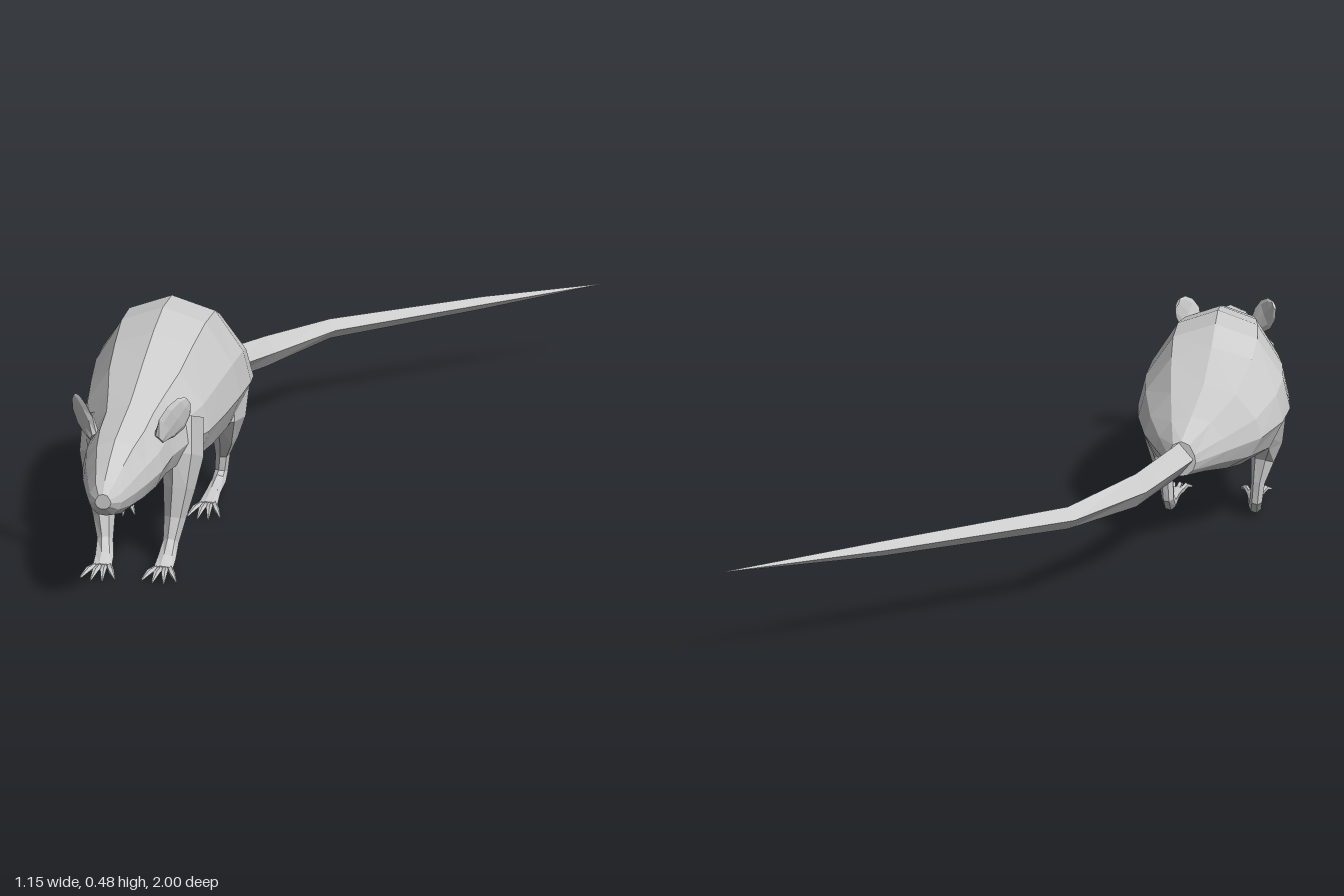
import * as THREE from 'three';

const CX = -0.392; // the body's own centre line
const material = new THREE.MeshStandardMaterial({ color: 0xcccccc, flatShading: true });

// Skin a list of equal-sized rings, closing both ends with a fan
function loft(rings, name) {
  const n = rings[0].length, pos = [], idx = [];
  rings.forEach(r => r.forEach(p => pos.push(p.x, p.y, p.z)));
  for (let i = 0; i < rings.length - 1; i++) {
    for (let j = 0; j < n; j++) {
      const a = i * n + j, b = i * n + (j + 1) % n;
      idx.push(a, b, a + n, b, b + n, a + n);
    }
  }
  const last = (rings.length - 1) * n;
  for (let j = 1; j < n - 1; j++) {
    idx.push(0, j + 1, j, last, last + j, last + j + 1);
  }
  const g = new THREE.BufferGeometry();
  g.setAttribute('position', new THREE.Float32BufferAttribute(pos, 3));
  g.setIndex(idx);
  const geometry = g.toNonIndexed();
  geometry.computeVertexNormals();
  const mesh = new THREE.Mesh(geometry, material);
  mesh.name = name;
  return mesh;
}

// Tapered limb: each station is [x, y, z, radius along ref, radius across]
function limb(stations, sides, ref, name) {
  const pts = stations.map(s => new THREE.Vector3(s[0], s[1], s[2]));
  const rings = stations.map((s, i) => {
    const t = pts[Math.min(i + 1, pts.length - 1)].clone().sub(pts[Math.max(i - 1, 0)]).normalize();
    const u = ref.clone().addScaledVector(t, -ref.dot(t)).normalize();
    const v = t.clone().cross(u);
    return Array.from({ length: sides }, (_, j) => {
      const a = j / sides * Math.PI * 2;
      return pts[i].clone().addScaledVector(u, Math.cos(a) * s[3]).addScaledVector(v, Math.sin(a) * s[4]);
    });
  });
  return loft(rings, name);
}

const X = new THREE.Vector3(1, 0, 0), Y = new THREE.Vector3(0, 1, 0);

// Body and head: [z, centre x, half width, bottom, top], rump to nose
function makeBody() {
  const half = [[0, 0], [0.42, 0.03], [0.82, 0.18], [1, 0.4], [0.9, 0.62], [0.55, 0.9], [0, 1]];
  const outline = [...half, ...half.slice(1, -1).reverse().map(([x, y]) => [-x, y])];
  const stations = [
    [-0.11, -0.33, 0.035, 0.18, 0.265],
    [-0.05, -0.35, 0.085, 0.172, 0.31],
    [0.01, -0.374, 0.14, 0.16, 0.37],
    [0.09, -0.388, 0.175, 0.143, 0.445],
    [0.17, CX, 0.185, 0.138, 0.48],
    [0.29, CX, 0.178, 0.138, 0.485],
    [0.42, CX, 0.162, 0.146, 0.464],
    [0.54, CX, 0.145, 0.165, 0.435],
    [0.64, CX, 0.115, 0.19, 0.408],
    [0.72, CX, 0.094, 0.198, 0.388],
    [0.8, -0.395, 0.088, 0.198, 0.37],
    [0.87, -0.397, 0.072, 0.2, 0.355],
    [0.93, -0.398, 0.053, 0.208, 0.33],
    [0.975, -0.4, 0.036, 0.222, 0.3],
    [1.0, -0.4, 0.017, 0.245, 0.278],
  ];
  return loft(stations.map(([z, cx, w, lo, hi]) =>
    outline.map(([x, y]) => new THREE.Vector3(cx + x * w, lo + y * (hi - lo), z))), 'body');
}

// Leg with a flat foot and splayed toes; s is +1 for left, -1 for right
function makeLeg(s, name, path, ball, toeLength) {
  const leg = new THREE.Group();
  leg.name = name;
  const side = ([x, ...rest]) => [CX + s * x, ...rest];
  leg.add(limb(path.map(side), 7, X, name + 'Limb'));
  const [bx, by, bz] = ball;
  for (let i = 0; i < 4; i++) {
    const k = (i - 1.5) / 1.5, len = toeLength * (1 - 0.22 * k * k);
    leg.add(limb([
      [bx + k * 0.013, by, bz - 0.015, 0.007, 0.007],
      [bx + k * 0.025, by + 0.003, bz + len * 0.5, 0.007, 0.007],
      [bx + k * 0.038, 0.006, bz + len, 0.002, 0.003],
    ].map(side), 5, X, 'toe'));
  }
  return leg;
}

// Thin cupped ear leaning out and back
function makeEar(s, name) {
  const ear = limb([
    [0.07, 0.325, 0.765, 0.014, 0.012],
    [0.085, 0.345, 0.75, 0.036, 0.01],
    [0.103, 0.365, 0.735, 0.042, 0.007],
    [0.118, 0.385, 0.718, 0.032, 0.006],
    [0.125, 0.396, 0.708, 0.014, 0.004],
  ].map(([x, ...r]) => [CX + s * x, ...r]), 8, new THREE.Vector3(s * 0.35, -0.75, -0.6), name);
  return ear;
}

export function createModel() {
  const model = new THREE.Group();
  model.name = 'rat';
  model.add(makeBody());

  // Four-sided tail sweeping to the left
  model.add(limb([
    [-0.34, 0.222, -0.06, 0.043, 0.035],
    [-0.318, 0.22, -0.13, 0.041, 0.032],
    [-0.24, 0.205, -0.31, 0.04, 0.028],
    [-0.105, 0.205, -0.53, 0.026, 0.024],
    [0.27, 0.21, -0.8, 0.017, 0.016],
    [0.57, 0.215, -1.0, 0.001, 0.001],
  ], 4, Y, 'tail'));

  for (const [s, label] of [[1, 'left'], [-1, 'right']]) {
    model.add(makeLeg(s, label + 'FrontLeg', [
      [0.09, 0.31, 0.56, 0.045, 0.085],
      [0.092, 0.23, 0.59, 0.047, 0.08],
      [0.088, 0.165, 0.62, 0.036, 0.048],
      [0.08, 0.1, 0.635, 0.025, 0.032],
      [0.074, 0.05, 0.66, 0.018, 0.022],
      [0.07, 0.024, 0.695, 0.021, 0.014],
      [0.068, 0.014, 0.735, 0.022, 0.008],
    ], [0.068, 0.013, 0.735], 0.065));
    model.add(makeLeg(s, label + 'HindLeg', [
      [0.1, 0.34, 0.13, 0.05, 0.07],
      [0.122, 0.27, 0.16, 0.06, 0.11],
      [0.128, 0.195, 0.185, 0.045, 0.085],
      [0.122, 0.14, 0.17, 0.03, 0.042],
      [0.112, 0.09, 0.15, 0.018, 0.022],
      [0.108, 0.045, 0.148, 0.016, 0.02],
      [0.105, 0.024, 0.17, 0.017, 0.019],
      [0.102, 0.022, 0.24, 0.018, 0.01],
      [0.1, 0.015, 0.31, 0.023, 0.008],
    ], [0.1, 0.014, 0.31], 0.075));
    model.add(makeEar(s, label + 'Ear'));
  }
  return model;
}
